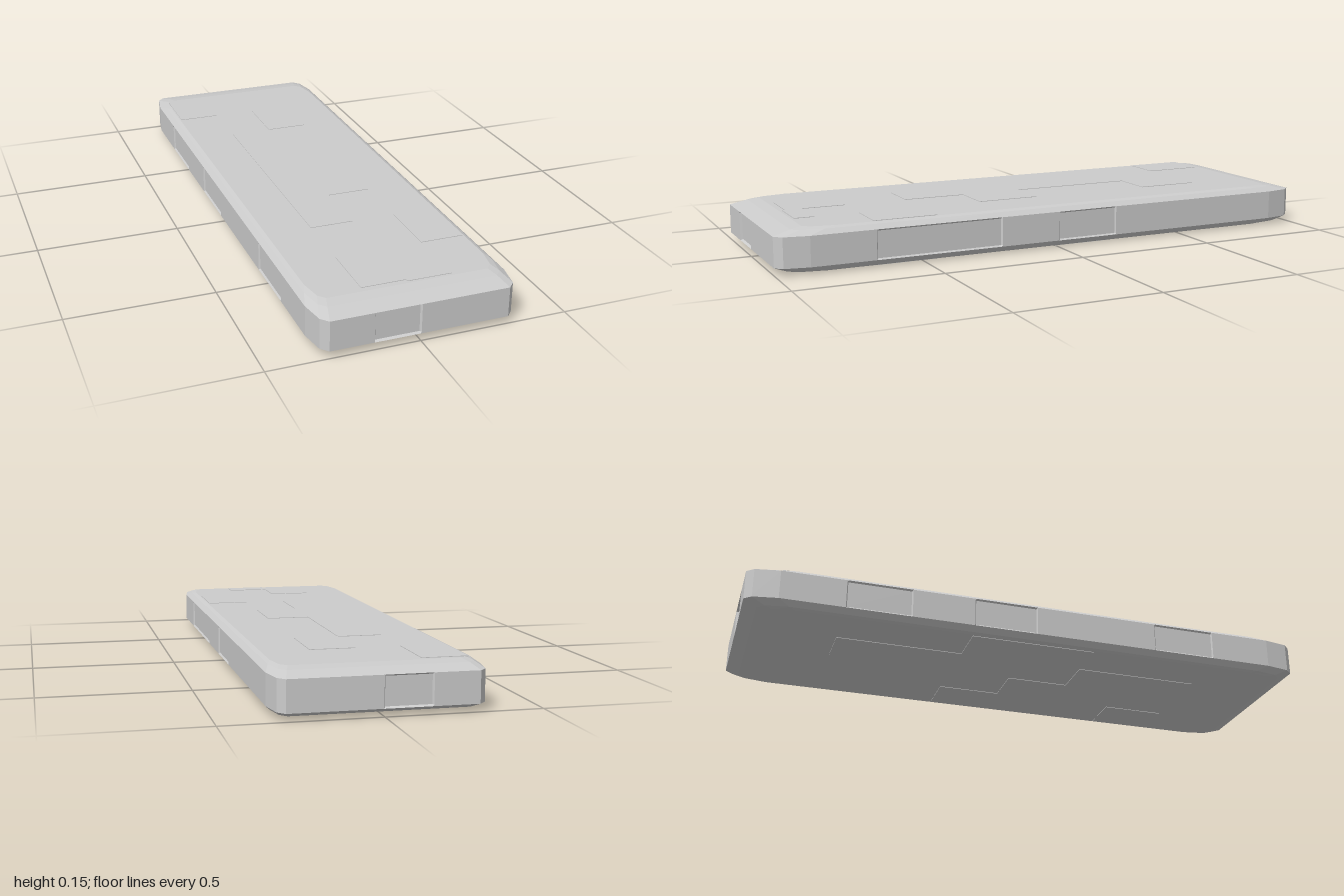
import * as THREE from 'three';

const material = new THREE.MeshStandardMaterial({ color: 0xcccccc, flatShading: true });

// Outline of the slab, counter-clockwise seen from below; each point is [x, z, notchX, notchZ]
function makeOutline() {
  const points = [];
  const corner = [[0.335, 0.89], [0.32, 0.975], [0.297, 1]];
  const add = (x, z, nx = 0, nz = 0) => points.push([x, z, nx, nz]);
  const addCorner = (sx, sz) => {
    const list = sx * sz > 0 ? corner : [...corner].reverse();
    list.forEach(([x, z]) => add(sx * x, sz * z));
  };
  // a shallow panel from a to b along one edge, pushed in by d
  const onSide = (s, a, b) => {
    const e = Math.sign(b - a) * 0.002;
    add(s * 0.335, a - e); add(s * 0.335, a + e, -s * 0.005, 0);
    add(s * 0.335, b - e, -s * 0.005, 0); add(s * 0.335, b + e);
  };
  const onEnd = (s, a, b) => {
    const e = Math.sign(b - a) * 0.002;
    add(a - e, s); add(a + e, s, 0, -s * 0.008);
    add(b - e, s, 0, -s * 0.008); add(b + e, s);
  };
  addCorner(1, 1);
  onEnd(1, 0, -0.15);
  addCorner(-1, 1);
  onSide(-1, 0.667, 0.444);
  onSide(-1, 0, -0.222);
  onSide(-1, -0.444, -0.667);
  addCorner(-1, -1);
  onEnd(-1, -0.15, 0);
  addCorner(1, -1);
  onSide(1, -0.222, 0);
  onSide(1, 0.222, 0.667);
  return points;
}

// Stack of rings: height, half width, half length, whether panels are pushed in
function makeBody() {
  const outline = makeOutline();
  const rings = [
    [0.002, 0.305, 0.93, 0], [0.007, 0.318, 0.955, 0], [0.025, 0.335, 1, 0], [0.03, 0.335, 1, 1],
    [0.122, 0.335, 1, 1], [0.127, 0.335, 1, 0], [0.142, 0.318, 0.94, 0], [0.148, 0.305, 0.9, 0],
  ];
  const n = outline.length;
  const positions = [];
  const index = [];
  for (const [y, hx, hz, notch] of rings) {
    for (const [x, z, nx, nz] of outline) {
      positions.push((x + nx * notch) * hx / 0.335, y, (z + nz * notch) * hz);
    }
  }
  for (let r = 0; r < rings.length - 1; r++) {
    for (let i = 0; i < n; i++) {
      const a = r * n + i, b = r * n + (i + 1) % n;
      index.push(a, a + n, b, b, a + n, b + n);
    }
  }
  // flat caps
  const bottom = rings.length * n, top = bottom + 1, last = (rings.length - 1) * n;
  positions.push(0, 0.002, 0, 0, 0.148, 0);
  for (let i = 0; i < n; i++) {
    const j = (i + 1) % n;
    index.push(bottom, i, j, top, last + j, last + i);
  }
  const indexed = new THREE.BufferGeometry();
  indexed.setAttribute('position', new THREE.Float32BufferAttribute(positions, 3));
  indexed.setIndex(index);
  const geometry = indexed.toNonIndexed();
  geometry.computeVertexNormals();
  return geometry;
}

export function createModel() {
  const group = new THREE.Group();
  const body = new THREE.Mesh(makeBody(), material);
  body.name = 'slabBody';
  group.add(body);

  // Low relief plates: x from, x to, z from, z to
  const addPlates = (name, y, list) => list.forEach(([x0, x1, z0, z1]) => {
    const plate = new THREE.Mesh(new THREE.BoxGeometry(x1 - x0, 0.003, z1 - z0), material);
    plate.position.set((x0 + x1) / 2, y, (z0 + z1) / 2);
    plate.name = name;
    group.add(plate);
  });
  addPlates('topPlate', 0.1485, [
    [-0.15, 0, -0.444, 0.444], [0, 0.15, 0, 0.222], [0, 0.15, -0.667, -0.444],
    [-0.15, 0, 0.667, 0.88], [0, 0.15, 0.82, 0.89], [0.15, 0.3, 0.444, 0.667],
    [-0.3, -0.15, -0.88, -0.667],
  ]);
  addPlates('bottomPlate', 0.0015, [
    [-0.15, 0, -0.667, -0.222], [-0.15, 0, 0.222, 0.667], [0.15, 0.3, -0.222, 0],
    [0.15, 0.3, 0.444, 0.667], [-0.3, -0.15, -0.222, 0.222], [0, 0.15, 0, 0.222],
  ]);
  return group;
}
